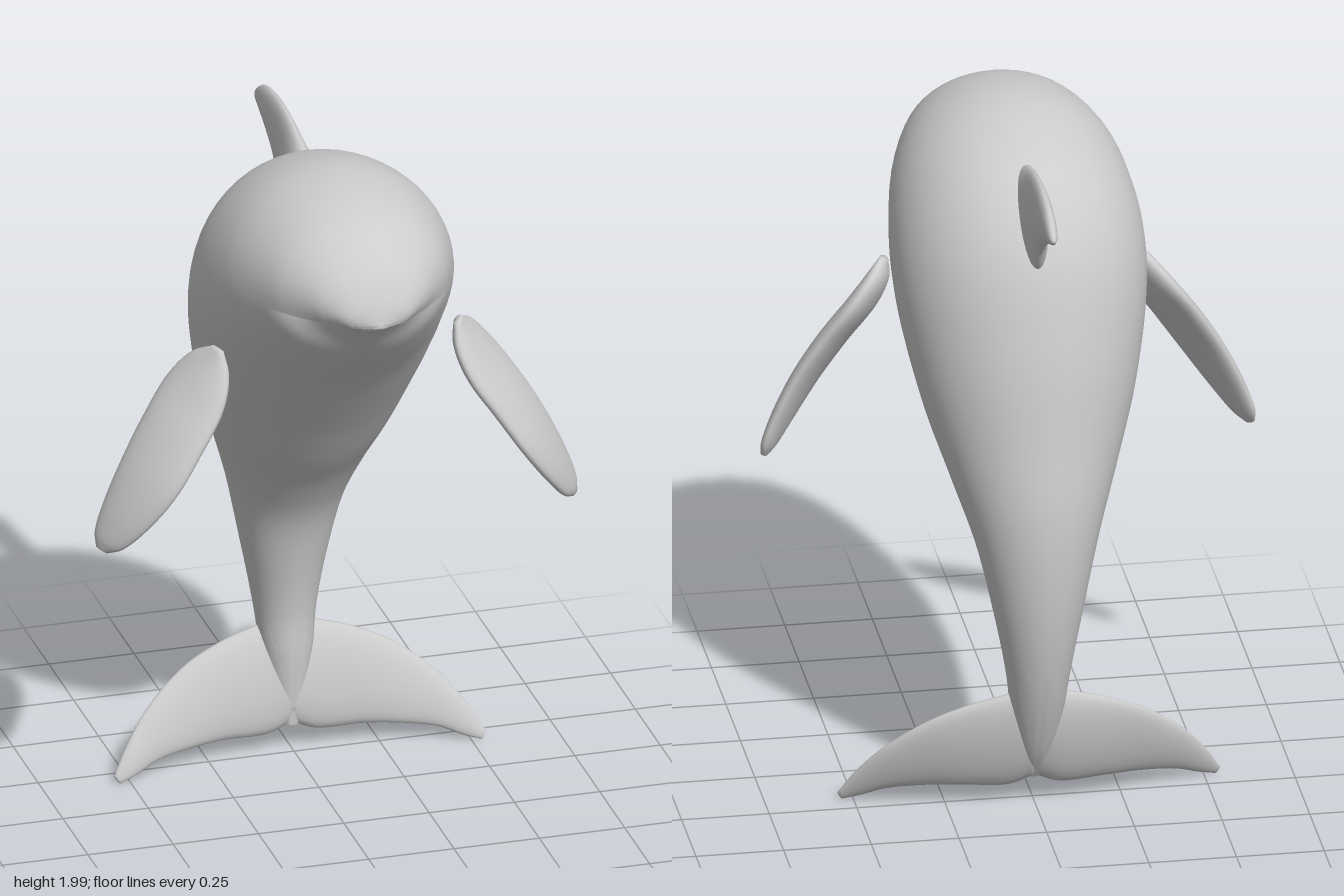
import * as THREE from 'three';
import { toCreasedNormals } from 'three/addons/utils/BufferGeometryUtils.js';

const grey = new THREE.MeshStandardMaterial({ color: 0xcccccc });
const V = (x, y, z) => new THREE.Vector3(x, y, z);

// Plain elliptical ring: list of [angle, inset]
const oval = () => Array.from({ length: 28 }, (_, j) => [(j / 28) * Math.PI * 2, 0]);

// Lofts ellipses between two edge lines. Each section is [edgeA, edgeB, halfThickness];
// n is the thickness direction; ring(A, B, s) gives the angles around section s.
function loft(sections, n, steps, ring = oval, power = 1) {
  const last = sections.length - 1;
  const curves = [
    new THREE.CatmullRomCurve3(sections.map(s => s[0])),
    new THREE.CatmullRomCurve3(sections.map(s => s[1])),
    new THREE.CatmullRomCurve3(sections.map((s, i) => V(s[2], i * 0.1, 0))),
  ];
  const centre = s => s[0].clone().add(s[1]);
  const along = centre(sections[last]).sub(centre(sections[0]));
  const mid = sections[last >> 1];
  const turn = mid[0].clone().sub(mid[1]).cross(n).dot(along);
  const dir = n.clone().normalize().multiplyScalar(turn > 0 ? 1 : -1);
  const pos = [], index = [];
  let count = 0;
  for (let i = -1; i <= steps + 1; i++) {
    const t = Math.pow(Math.min(Math.max(i / steps, 0), 1), power);
    const [A, B, W] = curves.map(c => c.getPoint(t));
    const c = A.clone().add(B).multiplyScalar(0.5);
    const d = A.clone().sub(B).multiplyScalar(0.5);
    const size = i < 0 || i > steps ? 0 : 1; // collapsed rows close the ends
    const pts = ring(A, B, t * last);
    count = pts.length;
    for (const [a, inset] of pts) {
      const p = c.clone().addScaledVector(d, Math.cos(a) * size)
        .addScaledVector(dir, Math.sin(a) * Math.max(W.x, 0) * size);
      pos.push(p.x * (1 - inset * 1.5), p.y, p.z - inset);
    }
  }
  for (let i = 0; i < steps + 2; i++) {
    for (let j = 0; j < count; j++) {
      const a = i * count + j, b = i * count + (j + 1) % count;
      index.push(a, b, a + count, b, b + count, a + count);
    }
  }
  const g = new THREE.BufferGeometry();
  g.setAttribute('position', new THREE.Float32BufferAttribute(pos, 3));
  g.setIndex(index);
  g.computeVertexNormals();
  return g;
}

// Body ring with a step at mouth height, where the lower jaw sits behind the upper lip
function bodyRing(A, B, s) {
  const hy = (A.y - B.y) / 2;
  const c = hy > 1e-4 ? (1.71 - (A.y + B.y) / 2) / hy : -0.5;
  const mouth = Math.acos(THREE.MathUtils.clamp(c, -0.6, 0));
  const depth = 0.035 * (1 - THREE.MathUtils.smoothstep(s, 2.4, 3.4));
  const half = [];
  const N = 14;
  for (let j = 0; j <= N; j++) half.push([mouth * j / N, 0]);
  for (let j = 0; j <= N; j++) half.push([mouth + (Math.PI - mouth) * j / N, depth * (1 - j / N)]);
  const other = half.slice(1, -1).reverse().map(([a, k]) => [-a, k]);
  return half.concat(other);
}

export function createModel() {
  const group = new THREE.Group();
  const add = (name, geometry) => {
    const m = new THREE.Mesh(geometry, grey);
    m.name = name;
    group.add(m);
  };

  // Body, nose to tail: back z, y, belly z, y, half width
  const body = [
    [0.627, 1.715, 0.625, 1.708, 0.01],
    [0.605, 1.78, 0.6, 1.69, 0.09],
    [0.55, 1.86, 0.55, 1.66, 0.16],
    [0.40, 1.96, 0.465, 1.57, 0.25],
    [0.165, 2.0, 0.375, 1.47, 0.315],
    [-0.02, 1.97, 0.28, 1.37, 0.347],
    [-0.2, 1.885, 0.19, 1.26, 0.36],
    [-0.33, 1.73, 0.10, 1.145, 0.345],
    [-0.42, 1.45, 0.0, 1.01, 0.298],
    [-0.465, 1.18, -0.1, 0.885, 0.235],
    [-0.497, 0.945, -0.18, 0.75, 0.175],
    [-0.49, 0.68, -0.225, 0.585, 0.127],
    [-0.455, 0.47, -0.25, 0.42, 0.092],
    [-0.41, 0.32, -0.25, 0.30, 0.075],
    [-0.35, 0.18, -0.255, 0.18, 0.05],
    [-0.29, 0.085, -0.26, 0.085, 0.02],
  ].map(([bz, by, lz, ly, w]) => [V(0, by, bz), V(0, ly, lz), w]);
  add('body', toCreasedNormals(loft(body, V(1, 0, 0), 110, bodyRing, 1.4), 0.8));

  // Back fin: top z, y, bottom z, y, half width
  const dorsal = [
    [-0.10, 1.90, -0.30, 1.62, 0.06],
    [-0.22, 1.937, -0.365, 1.70, 0.036],
    [-0.33, 1.96, -0.41, 1.765, 0.027],
    [-0.45, 1.962, -0.48, 1.815, 0.024],
    [-0.55, 1.942, -0.55, 1.85, 0.02],
    [-0.605, 1.91, -0.595, 1.868, 0.014],
    [-0.626, 1.89, -0.615, 1.876, 0.006],
  ].map(([tz, ty, bz, by, w]) => [V(0, ty, tz), V(0, by, bz), w]);
  add('dorsalFin', loft(dorsal, V(1, 0, 0), 30));

  for (const [side, m] of [['left', 1], ['right', -1]]) {
    // Flipper: centre x, y, z, half chord, half thickness
    const flipper = [
      [0.35, 1.50, 0.19, 0.02, 0.012],
      [0.37, 1.45, 0.178, 0.075, 0.028],
      [0.415, 1.37, 0.185, 0.112, 0.036],
      [0.49, 1.26, 0.21, 0.118, 0.036],
      [0.565, 1.14, 0.227, 0.112, 0.033],
      [0.63, 1.03, 0.218, 0.088, 0.028],
      [0.675, 0.95, 0.2, 0.055, 0.02],
      [0.692, 0.92, 0.19, 0.022, 0.01],
    ].map(([x, y, z, h, w]) => {
      const chord = V(-0.45 * m, -0.2, 0.87).multiplyScalar(h);
      const c = V(x * m, y, z);
      return [c.clone().add(chord), c.clone().sub(chord), w];
    });
    add(side + 'Flipper', loft(flipper, V(0.74 * m, 0.43, 0.48), 36));

    // Tail fluke: upper edge x, y, z, lower edge x, y, z, half thickness
    const fluke = [
      [0, 0.40, -0.35, 0, 0.09, -0.275, 0.045],
      [0.08, 0.37, -0.345, 0.07, 0.063, -0.27, 0.042],
      [0.18, 0.342, -0.333, 0.2, 0.065, -0.26, 0.034],
      [0.3, 0.29, -0.31, 0.3, 0.062, -0.24, 0.027],
      [0.42, 0.2, -0.265, 0.41, 0.048, -0.215, 0.02],
      [0.5, 0.105, -0.218, 0.48, 0.022, -0.192, 0.014],
      [0.545, 0.03, -0.187, 0.53, 0.008, -0.18, 0.006],
    ].map(([ux, uy, uz, lx, ly, lz, w]) => [V(ux * m, uy, uz), V(lx * m, ly, lz), w]);
    add(side + 'Fluke', loft(fluke, V(-0.15 * m, 0.38, 0.91), 36));
  }
  return group;
}
